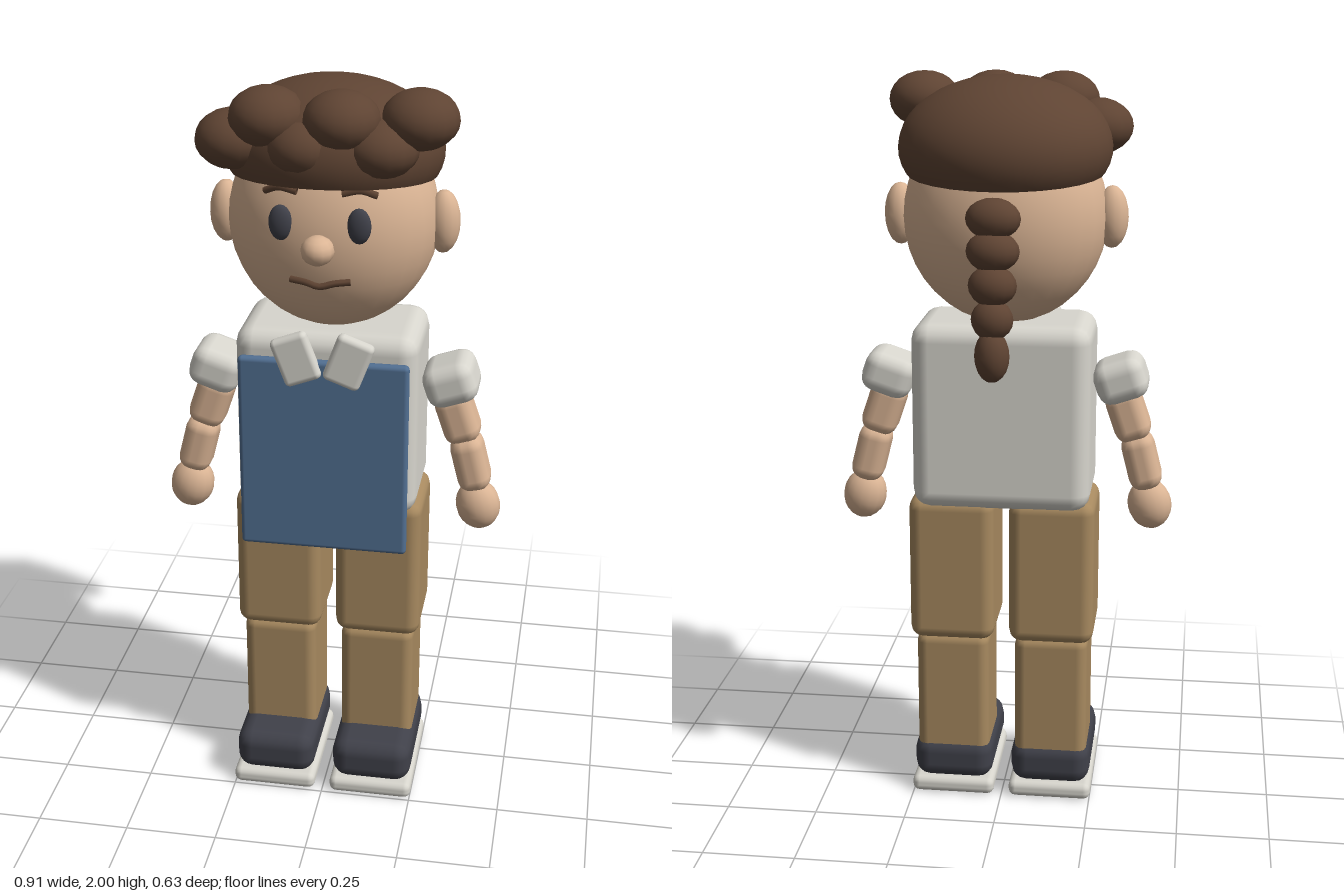
import * as THREE from 'three';
import { RoundedBoxGeometry } from 'three/addons/geometries/RoundedBoxGeometry.js';

function material(name, color, side = THREE.FrontSide) {
  const m = new THREE.MeshStandardMaterial({ color, side });
  m.name = name;
  return m;
}

export function createModel() {
  const model = new THREE.Group();
  model.name = 'figure';
  const skin = material('skin', 0xdbb595);
  const hair = material('hair brown', 0x5f4433, THREE.DoubleSide);
  const shirt = material('shirt white', 0xd8d6ce);
  const trousers = material('trousers tan', 0xa88a60);
  const apronBlue = material('apron blue', 0x527093);
  const dark = material('charcoal', 0x40414a);

  const add = (name, geometry, mat, pos) => {
    const mesh = new THREE.Mesh(geometry, mat);
    mesh.name = name;
    mesh.position.set(...pos);
    model.add(mesh);
    return mesh;
  };
  const ball = (name, mat, pos, radii, w = 16, h = 12) =>
    add(name, new THREE.SphereGeometry(1, w, h).scale(...radii), mat, pos);
  const box = (name, mat, pos, size, radius, tilt = 0) => {
    const mesh = add(name, new RoundedBoxGeometry(...size, 2, radius), mat, pos);
    mesh.rotation.z = tilt;
    return mesh;
  };
  const tube = (name, points, radius) => {
    const curve = new THREE.CatmullRomCurve3(points.map(p => new THREE.Vector3(...p)));
    return add(name, new THREE.TubeGeometry(curve, 12, radius, 6), hair, [0, 0, 0]);
  };

  // Head and face
  ball('head', skin, [0, 1.64, 0.025], [0.27, 0.285, 0.225], 28, 20);
  ball('nose', skin, [0, 1.627, 0.266], [0.042, 0.037, 0.045], 12, 8);
  tube('mouth', [[-0.075, 1.537, 0.228], [-0.035, 1.534, 0.238], [0, 1.526, 0.243],
    [0.035, 1.534, 0.238], [0.075, 1.537, 0.228]], 0.009);

  // Hair cap, tipped lower at the back
  const cap = add('hairCap',
    new THREE.SphereGeometry(1, 28, 14, 0, Math.PI * 2, 0, Math.PI * 0.62).scale(0.28, 0.18, 0.255),
    hair, [0, 1.82, 0.02]);
  cap.rotation.x = -0.1;

  // Fringe curls alternate between a low and a high row
  for (let i = 0; i < 6; i++) {
    const x = -0.23 + i * 0.092;
    const z = 0.19 - 0.9 * x * x;
    ball('curl', hair, [x, i % 2 ? 1.928 : 1.862, z], [0.096, 0.074, 0.1]);
  }

  // Braid, tapering to a longer tip
  const braid = [[1.67, -0.242, 0.07, 0.053], [1.59, -0.25, 0.068, 0.056], [1.505, -0.258, 0.062, 0.054],
    [1.42, -0.264, 0.054, 0.049], [1.328, -0.271, 0.045, 0.045]];
  braid.forEach(([y, z, rx, rz], i) =>
    ball('braidBead', hair, [0, y, z], [rx, i === 4 ? 0.068 : 0.052, rz], 14, 10));

  // Torso and apron
  box('torso', shirt, [0, 1.115, 0.027], [0.48, 0.51, 0.295], 0.05);
  box('apron', apronBlue, [0, 1.04, 0.195], [0.444, 0.54, 0.028], 0.012);

  // Mirrored parts
  for (const s of [1, -1]) {
    ball('ear', skin, [s * 0.28, 1.64, 0.026], [0.043, 0.082, 0.045], 14, 10);
    ball('eye', dark, [s * 0.097, 1.683, 0.234], [0.03, 0.045, 0.018], 14, 10);
    tube('eyebrow', [[s * 0.138, 1.757, 0.218], [s * 0.1, 1.772, 0.232], [s * 0.055, 1.764, 0.238]], 0.009);
    box('collar', shirt, [s * 0.068, 1.315, 0.207], [0.1, 0.132, 0.036], 0.015, -s * 0.36);

    box('sleeve', shirt, [s * 0.313, 1.21, 0.021], [0.14, 0.115, 0.158], 0.04, s * 0.33);
    box('upperArm', skin, [s * 0.333, 1.11, 0.027], [0.1, 0.15, 0.105], 0.036, s * 0.33);
    box('forearm', skin, [s * 0.372, 0.978, 0.031], [0.09, 0.16, 0.102], 0.036, s * 0.25);
    ball('hand', skin, [s * 0.396, 0.853, 0.036], [0.06, 0.07, 0.053]).rotation.z = s * 0.2;

    box('thigh', trousers, [s * 0.137, 0.68, 0.024], [0.234, 0.41, 0.248], 0.035);
    box('shin', trousers, [s * 0.137, 0.305, 0.026], [0.202, 0.365, 0.222], 0.03);
    box('shoe', dark, [s * 0.137, 0.107, 0.074], [0.222, 0.125, 0.338], 0.045);
    box('sole', shirt, [s * 0.137, 0.029, 0.075], [0.232, 0.048, 0.35], 0.02);
  }
  return model;
}
